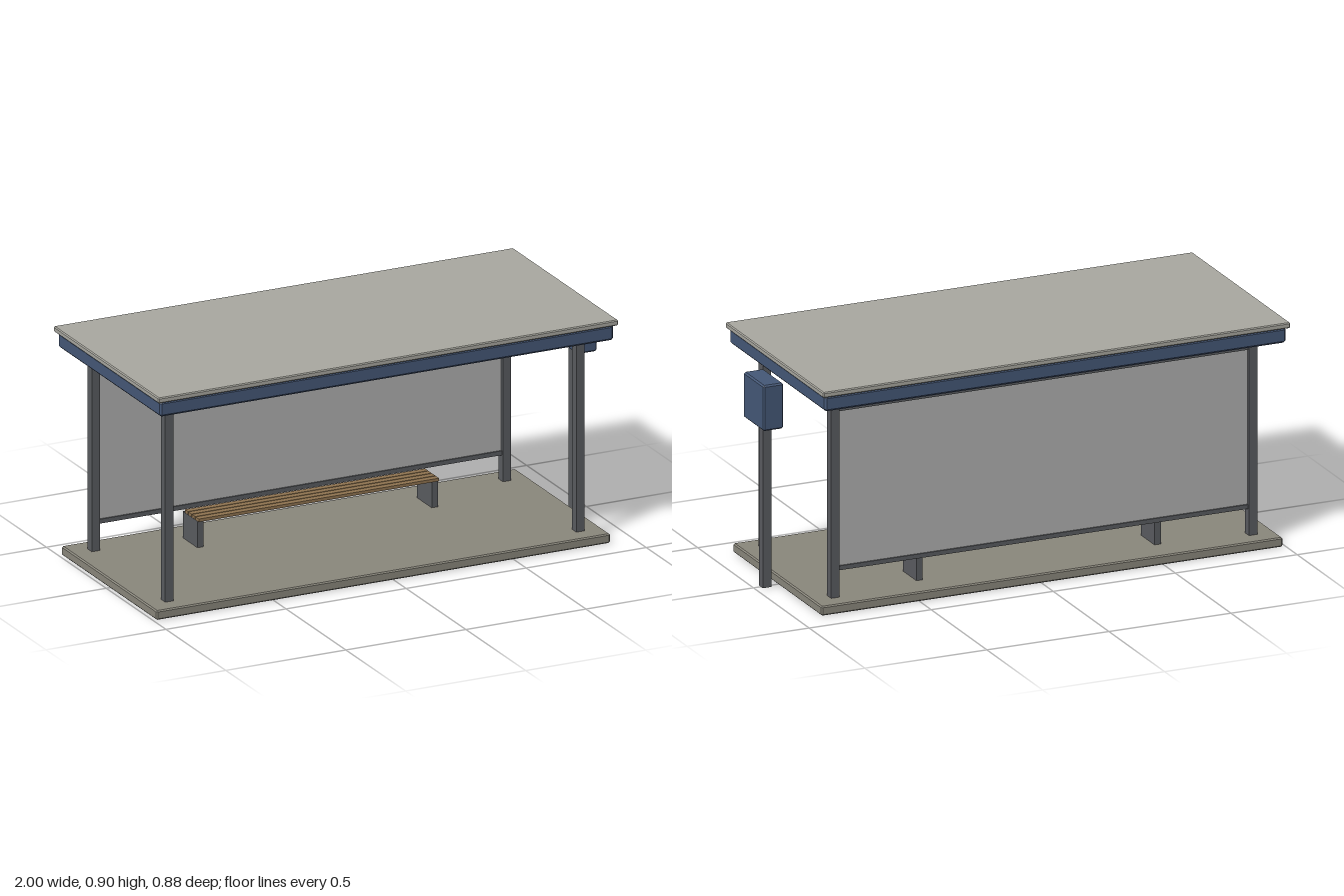
import * as THREE from 'three';

const mat = (color, side = THREE.FrontSide) =>
  new THREE.MeshStandardMaterial({ color, side, flatShading: true });

// Box with chamfered edges made of stacked rings; can be left open underneath.
function chamferBox(w, h, d, b, open = false) {
  const ring = (y, inset, cut) => {
    const x = w / 2 - inset, z = d / 2 - inset;
    return [
      [x, y, z - cut], [x, y, -z + cut], [x - cut, y, -z], [-x + cut, y, -z],
      [-x, y, -z + cut], [-x, y, z - cut], [-x + cut, y, z], [x - cut, y, z],
    ];
  };
  const rings = [ring(-h / 2, b, 0), ring(-h / 2 + b, 0, b), ring(h / 2 - b, 0, b), ring(h / 2, b, 0)];
  const index = [];
  for (let i = 0; i < 3; i++) {
    for (let j = 0; j < 8; j++) {
      const k = (j + 1) % 8, lo = i * 8, hi = lo + 8;
      index.push(lo + j, lo + k, hi + k, lo + j, hi + k, hi + j);
    }
  }
  for (let j = 1; j < 7; j++) {
    index.push(24, 24 + j, 25 + j);
    if (!open) index.push(0, j + 1, j);
  }
  const geo = new THREE.BufferGeometry();
  geo.setAttribute('position', new THREE.Float32BufferAttribute(rings.flat(2), 3));
  geo.setIndex(index);
  const flat = geo.toNonIndexed();
  flat.computeVertexNormals();
  return flat;
}

export function createModel() {
  const group = new THREE.Group();
  const steel = mat(0x5a5c60);
  const cx = -0.043; // middle of the shelter, the sign stands beside it

  const add = (name, geo, material, x, y, z) => {
    const mesh = new THREE.Mesh(geo, material);
    mesh.name = name;
    mesh.position.set(x, y, z);
    group.add(mesh);
  };
  // Plain box given by its limits
  const box = (name, material, [x0, x1], [y0, y1], [z0, z1]) =>
    add(name, new THREE.BoxGeometry(x1 - x0, y1 - y0, z1 - z0), material,
      (x0 + x1) / 2, (y0 + y1) / 2, (z0 + z1) / 2);

  // Floor slab and roof fascia are shells, open underneath
  add('floorSlab', chamferBox(1.89, 0.037, 0.794, 0.005, true),
    mat(0x8a877c, THREE.DoubleSide), cx, 0.0185, 0);
  add('roofFascia', chamferBox(1.89, 0.06, 0.856, 0.008, true),
    mat(0x455877, THREE.DoubleSide), cx, 0.845, 0);
  add('roofSheet', chamferBox(1.915, 0.022, 0.88, 0.004), mat(0xa9a8a0), cx, 0.886, 0);

  // Corner posts
  for (const sx of [-1, 1]) {
    for (const z of [-0.307, 0.307]) {
      const x = cx + sx * 0.856;
      box('cornerPost', steel, [x - 0.017, x + 0.017], [0.035, 0.816], [z - 0.018, z + 0.018]);
    }
  }

  // Back panel with its rails
  const span = [cx - 0.84, cx + 0.84];
  box('backPanel', mat(0xb0b0b0), span, [0.15, 0.778], [-0.311, -0.303]);
  box('bottomRail', steel, span, [0.14, 0.157], [-0.317, -0.297]);
  box('topRail', steel, span, [0.768, 0.79], [-0.317, -0.297]);

  // Light strip under the front of the roof
  box('lightStrip', mat(0xc4c4c4), [cx - 0.886, cx + 0.886], [0.792, 0.816], [0.278, 0.307]);

  // Bench: two slab legs and four slats
  for (const sx of [-1, 1]) {
    const x = cx + sx * 0.488;
    box('benchLeg', steel, [x - 0.013, x + 0.013], [0.015, 0.142], [-0.275, -0.153]);
  }
  const wood = mat(0x8f7350);
  for (let i = 0; i < 4; i++) {
    const z = -0.156 - i * 0.0305;
    box('benchSlat', wood, [cx - 0.5, cx + 0.5], [0.142, 0.154], [z - 0.013, z + 0.013]);
  }

  // Free-standing sign box on its post
  box('signPost', steel, [0.935, 0.97], [0, 0.8], [-0.018, 0.018]);
  add('signBox', chamferBox(0.083, 0.18, 0.18, 0.006), mat(0x455877), 0.9585, 0.735, 0);

  return group;
}
